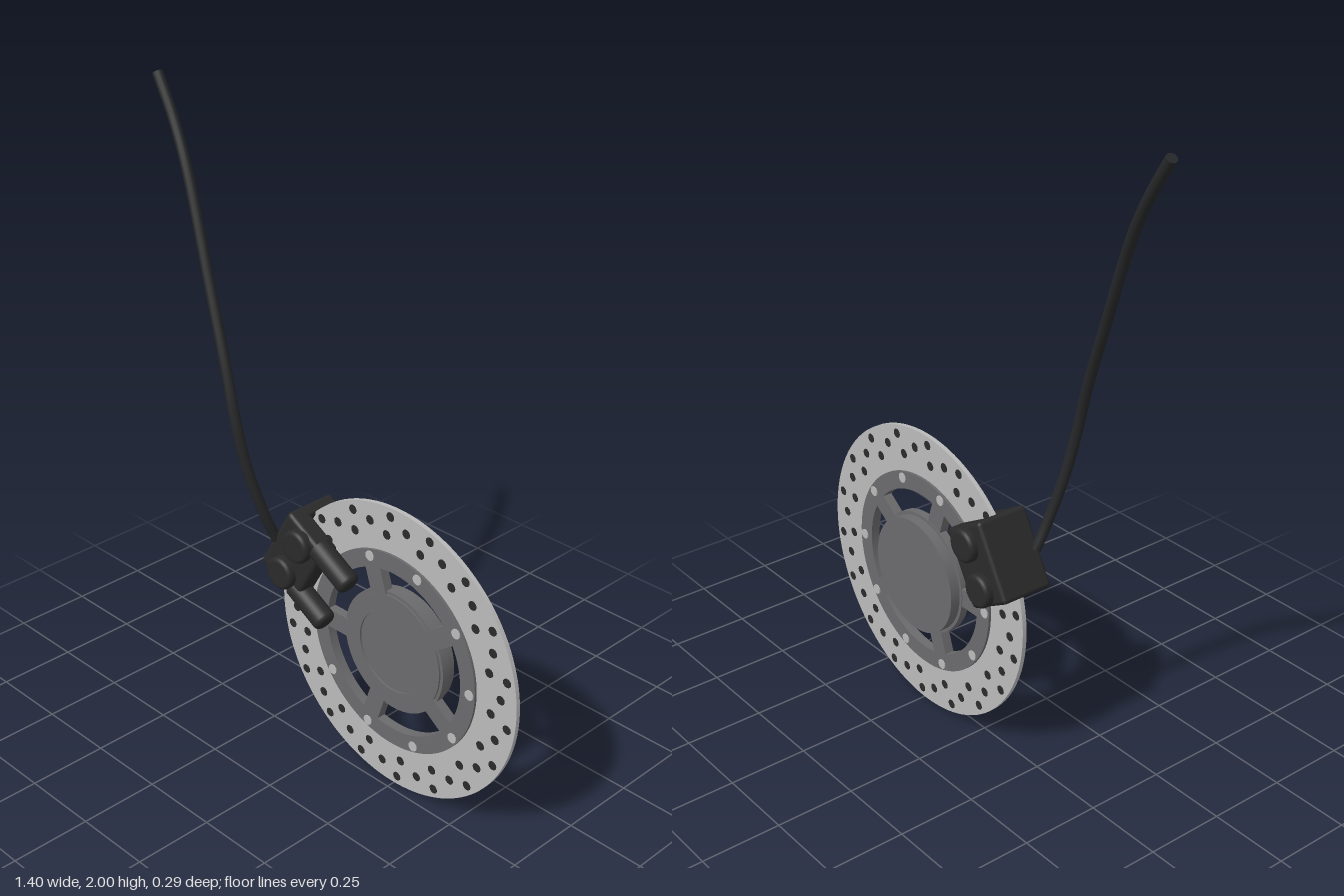
import * as THREE from 'three';
import { mergeGeometries } from 'three/addons/utils/BufferGeometryUtils.js';
import { RoundedBoxGeometry } from 'three/addons/geometries/RoundedBoxGeometry.js';

const mat = (name, color) => new THREE.MeshStandardMaterial({ name, color });
const V = (x, y) => new THREE.Vector2(x, y);

export function createModel() {
  const steel = mat('brushed steel', 0xbababa);
  const alloy = mat('grey alloy', 0x6b6b6d);
  const black = mat('black caliper', 0x2a2a2b);
  const rubber = mat('black rubber', 0x262728);
  const model = new THREE.Group();
  model.name = 'discBrake';

  const add = (parent, name, geo, material, x = 0, y = 0, z = 0) => {
    const m = new THREE.Mesh(geo, material);
    m.name = name;
    m.position.set(x, y, z);
    parent.add(m);
    return m;
  };
  // flat extrusion centred on z = 0
  const plate = (shape, depth) =>
    new THREE.ExtrudeGeometry(shape, { depth, bevelEnabled: false, curveSegments: 64 }).translate(0, 0, -depth / 2);
  // disc-like cylinder along z
  const stud = (r, depth, x, y, sides) =>
    new THREE.CylinderGeometry(r, r, depth, sides).rotateX(Math.PI / 2).translate(x, y, 0);
  // round plug along +y with a rounded rim at its far end
  const plug = (r, len, round) => {
    const pts = [V(r, 0)];
    for (let i = 0; i <= 5; i++) {
      const a = (i / 5) * Math.PI / 2;
      pts.push(V(r - round + round * Math.cos(a), len - round + round * Math.sin(a)));
    }
    pts.push(V(0, len));
    return new THREE.LatheGeometry(pts, 28);
  };

  // rotor assembly, centred on the wheel axis
  const rotor = new THREE.Group();
  rotor.name = 'rotor';
  rotor.position.set(0.238, 0.466, -0.035);
  model.add(rotor);

  // friction ring
  const ring = new THREE.Shape().absarc(0, 0, 0.465, 0, Math.PI * 2);
  ring.holes.push(new THREE.Path().absarc(0, 0, 0.3, 0, Math.PI * 2, true));
  add(rotor, 'frictionRing', plate(ring, 0.014), steel);

  // drilled spots, in slanted rows of three
  const spots = [];
  for (let k = 0; k < 18; k++) {
    [[0.437, 13], [0.408, 4.5], [0.375, -4.5]].forEach(([r, deg]) => {
      const a = THREE.MathUtils.degToRad(k * 20 + deg);
      spots.push(stud(0.0145, 0.016, r * Math.cos(a), r * Math.sin(a), 12));
    });
  }
  add(rotor, 'drilledSpots', mergeGeometries(spots), black);

  // carrier with five windows between the spokes
  const carrier = new THREE.Shape().absarc(0, 0, 0.32, 0, Math.PI * 2);
  const ri = 0.185, ro = 0.265, half = 0.03;
  for (let k = 0; k < 5; k++) {
    const a0 = (36 + 72 * k) * Math.PI / 180, a1 = a0 + 72 * Math.PI / 180;
    const di = Math.asin(half / ri), dout = Math.asin(half / ro);
    const win = new THREE.Path();
    win.absarc(0, 0, ro, a0 + dout, a1 - dout, false);
    win.absarc(0, 0, ri, a1 - di, a0 + di, true);
    win.closePath();
    carrier.holes.push(win);
  }
  carrier.holes.push(new THREE.Path().absarc(0, 0, 0.13, 0, Math.PI * 2, true));
  add(rotor, 'carrier', plate(carrier, 0.03), alloy);

  // hub: solid drum at the back, shallow recess at the front
  add(rotor, 'hubFlange', stud(0.195, 0.026, 0, 0, 64), alloy, 0, 0, -0.004);
  add(rotor, 'hubDrum', stud(0.185, 0.05, 0, 0, 64), alloy, 0, 0, -0.024);

  // ten bolts
  const bolts = [];
  for (let k = 0; k < 10; k++) {
    const a = k * Math.PI / 5;
    bolts.push(stud(0.016, 0.036, 0.3 * Math.cos(a), 0.3 * Math.sin(a), 12));
  }
  add(rotor, 'bolts', mergeGeometries(bolts), steel);

  // caliper: local +x points at the wheel axis, local y runs along the rim
  const caliper = new THREE.Group();
  caliper.name = 'caliper';
  caliper.position.set(-0.103, 0.667, -0.032);
  caliper.rotation.z = -Math.PI / 6;
  model.add(caliper);
  add(caliper, 'bridge', new RoundedBoxGeometry(0.04, 0.245, 0.172, 3, 0.012), black, -0.067);
  for (const s of [1, -1]) {
    add(caliper, 'cheek', new RoundedBoxGeometry(0.17, 0.245, 0.066, 3, 0.014), black, -0.002, 0, s * 0.054);
    for (const t of [1, -1]) {
      const piston = add(caliper, 'pistonCap', plug(0.052, 0.035, 0.014), black, 0, t * 0.068, s * 0.078);
      piston.rotation.x = s * Math.PI / 2;
    }
  }
  // slide pins
  for (const t of [1, -1]) {
    const pin = add(caliper, 'slidePin', plug(0.036, 0.15, 0.016), black, 0.045, t * 0.098, 0.06);
    pin.rotation.z = -Math.PI / 2;
  }

  // brake hose
  const path = new THREE.CatmullRomCurve3([
    [-0.178, 0.7, 0.045], [-0.19, 0.79, 0.08], [-0.22, 0.95, 0.118], [-0.25, 1.09, 0.13], [-0.29, 1.22, 0.122],
    [-0.39, 1.45, 0.09], [-0.53, 1.75, 0.042], [-0.61, 1.88, 0.02], [-0.685, 1.99, 0.008],
  ].map(p => new THREE.Vector3(...p)));
  add(model, 'hose', new THREE.TubeGeometry(path, 60, 0.016, 12, false), rubber);
  // closed hose ends
  [0, 1].forEach(t => {
    const cap = add(model, 'hoseEnd', new THREE.CircleGeometry(0.016, 12), rubber);
    const p = path.getPointAt(t);
    cap.position.copy(p);
    cap.lookAt(p.clone().addScaledVector(path.getTangentAt(t), t ? 1 : -1));
  });
  return model;
}
